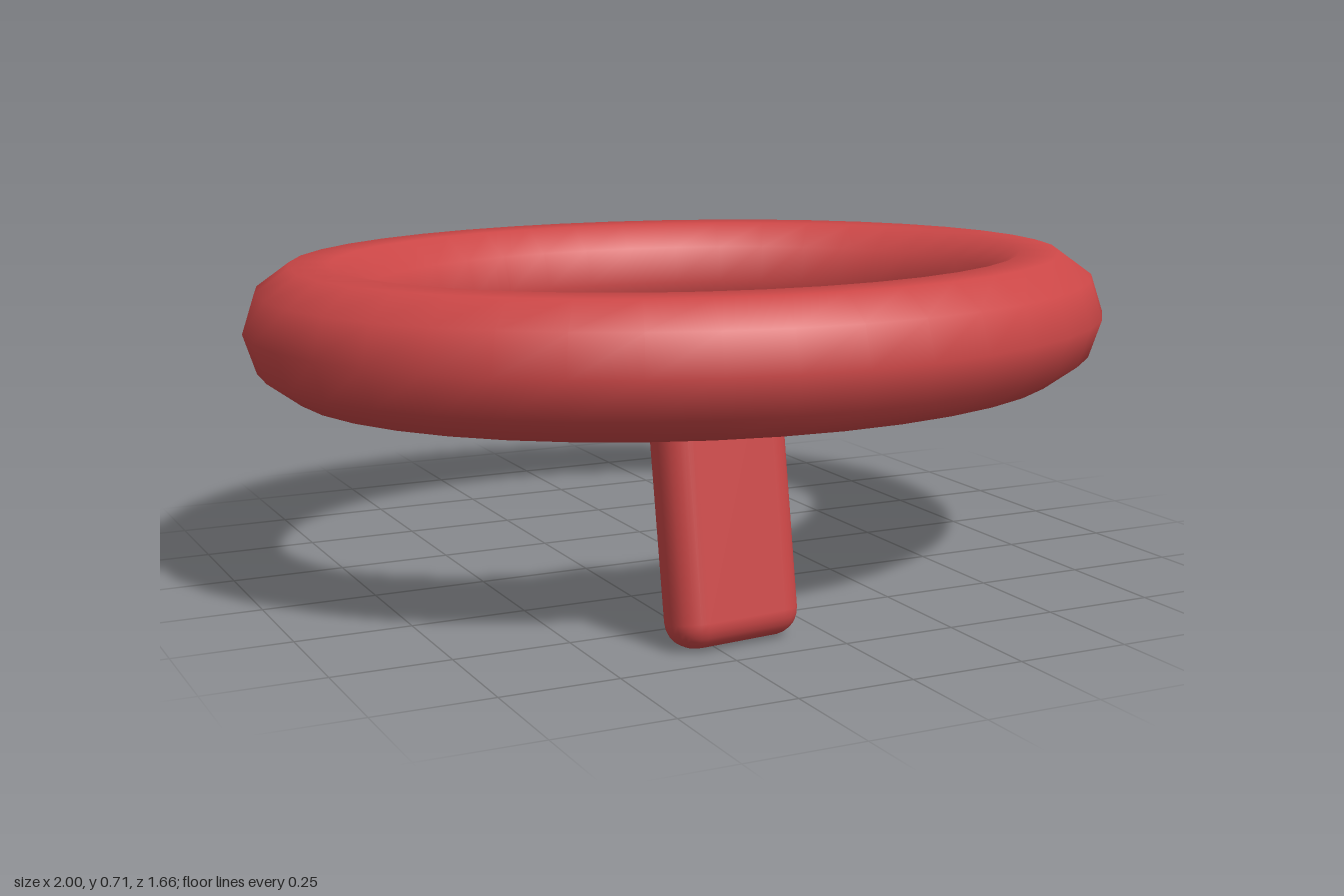
import * as THREE from 'three';
import { mergeVertices } from 'three/addons/utils/BufferGeometryUtils.js';
import { RoundedBoxGeometry } from 'three/addons/geometries/RoundedBoxGeometry.js';

const RADIUS_X = 0.853, RADIUS_Z = 0.683, TUBE = 0.147;

// Even-thickness tube swept round an ellipse: bend a flat torus onto it
function ellipticalRing() {
  const torus = new THREE.TorusGeometry(RADIUS_X, TUBE, 10, 40);
  torus.rotateX(Math.PI / 2);
  const p = torus.attributes.position;
  for (let i = 0; i < p.count; i++) {
    const x = p.getX(i), z = p.getZ(i);
    const angle = Math.atan2(z, x);
    const offset = Math.hypot(x, z) - RADIUS_X;
    const c = Math.cos(angle), s = Math.sin(angle);
    const normal = new THREE.Vector2(c / RADIUS_X, s / RADIUS_Z).normalize();
    p.setX(i, RADIUS_X * c + normal.x * offset);
    p.setZ(i, RADIUS_Z * s + normal.y * offset);
  }
  // weld the seams so the shading stays smooth all round
  torus.deleteAttribute('uv');
  torus.deleteAttribute('normal');
  const welded = mergeVertices(torus, 1e-4);
  welded.computeVertexNormals();
  return welded;
}

export function createModel() {
  const group = new THREE.Group();
  const red = new THREE.MeshStandardMaterial({ color: 0xcc4747 });
  red.name = 'red';

  // Oval ring lying flat
  const ring = new THREE.Mesh(ellipticalRing(), red);
  ring.name = 'ring';
  ring.position.y = 0.575;
  group.add(ring);

  // Rounded leg, leaning in through the front of the ring
  const leg = new THREE.Mesh(new RoundedBoxGeometry(0.29, 0.645, 0.125, 3, 0.055), red);
  leg.name = 'leg';
  leg.rotation.set(-0.145, 0.1, 0, 'YXZ');
  leg.position.set(-0.204, 0.322, 0.59);
  group.add(leg);

  return group;
}
